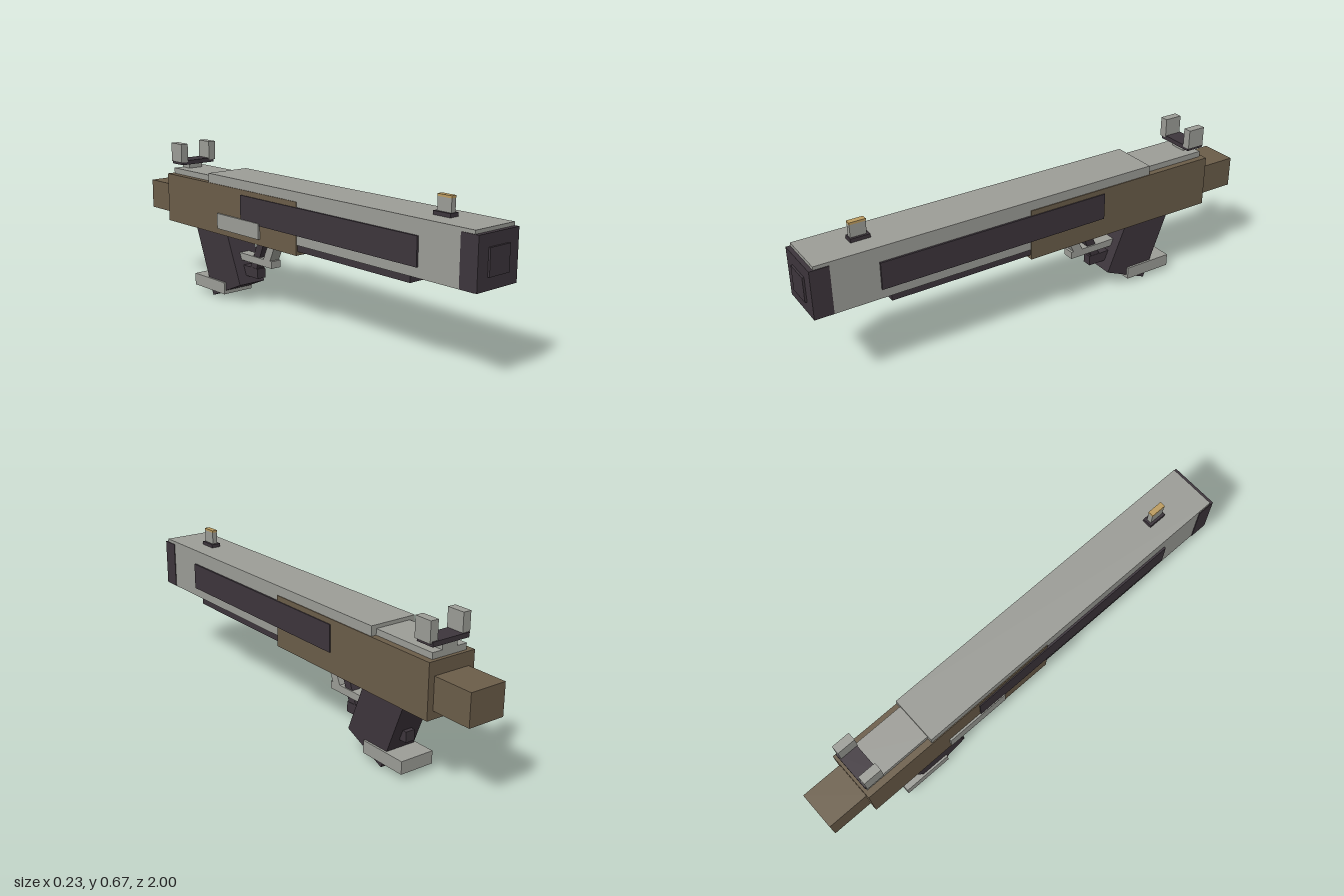
import * as THREE from 'three';

const mat = (name, color) => {
  const m = new THREE.MeshStandardMaterial({ color });
  m.name = name;
  return m;
};

export function createModel() {
  const grey = mat('grey metal', 0x9c9d97);
  const dark = mat('dark polymer', 0x3d353c);
  const brown = mat('brown frame', 0x6b5d49);
  const gold = mat('gold bead', 0xbc9c60);

  const model = new THREE.Group();
  model.name = 'blockyPistol';
  model.position.x = 0.001;

  // Box given by its limits on each axis
  const box = (name, material, [x0, x1], [y0, y1], [z0, z1]) => {
    const mesh = new THREE.Mesh(new THREE.BoxGeometry(x1 - x0, y1 - y0, z1 - z0), material);
    mesh.position.set((x0 + x1) / 2, (y0 + y1) / 2, (z0 + z1) / 2);
    mesh.name = name;
    model.add(mesh);
  };
  const mid = (w) => [-w, w];

  // Side outline in (z, y), extruded across x
  const prism = (name, material, halfWidth, points) => {
    const shape = new THREE.Shape(points.map(([z, y]) => new THREE.Vector2(z, y)));
    const geo = new THREE.ExtrudeGeometry(shape, { depth: halfWidth * 2, bevelEnabled: false });
    geo.translate(0, 0, -halfWidth).rotateY(-Math.PI / 2);
    const mesh = new THREE.Mesh(geo, material);
    mesh.name = name;
    model.add(mesh);
  };

  // Slide and muzzle
  box('slide', grey, mid(0.103), [0.35, 0.565], [-0.515, 0.975]);
  box('rearSlide', grey, mid(0.08), [0.5, 0.55], [-0.81, -0.515]);
  box('muzzleBlock', dark, mid(0.106), [0.352, 0.551], [0.915, 0.992]);
  box('muzzlePlate', dark, mid(0.053), [0.4, 0.503], [0.99, 1.0]);
  box('underRail', dark, mid(0.098), [0.323, 0.352], [0.05, 0.685]);

  // Frame and tail
  box('frame', brown, mid(0.1065), [0.307, 0.525], [-0.825, 0.075]);
  box('tail', brown, mid(0.08), [0.34, 0.47], [-1.0, -0.82]);

  // Side panels and the catch on the right side
  for (const s of [-1, 1]) {
    const name = s > 0 ? 'leftPanel' : 'rightPanel';
    box(name, dark, [s * 0.106 - 0.005, s * 0.106 + 0.005], [0.39, 0.503], [-0.28, 0.725]);
  }
  box('sideCatch', grey, [-0.115, -0.1], [0.333, 0.4], [-0.44, -0.155]);

  // Front sight
  box('frontSightBase', dark, mid(0.021), [0.56, 0.58], [0.715, 0.795]);
  box('frontSightPost', grey, mid(0.011), [0.575, 0.632], [0.725, 0.79]);
  box('frontSightBead', gold, mid(0.012), [0.632, 0.641], [0.724, 0.791]);

  // Rear sight
  box('rearSightMount', grey, mid(0.035), [0.545, 0.573], [-0.81, -0.755]);
  box('rearSightBar', dark, mid(0.085), [0.571, 0.59], [-0.815, -0.735]);
  for (const s of [-1, 1])
    box('rearSightPost', grey, [s * 0.0755 - 0.0175, s * 0.0755 + 0.0175], [0.583, 0.666], [-0.81, -0.732]);

  // Raked grip with its base plate
  prism('grip', dark, 0.067, [[-0.346, 0.087], [-0.454, 0.35], [-0.682, 0.35], [-0.545, 0.001]]);
  box('gripBase', grey, mid(0.076), [0.026, 0.079], [-0.67, -0.45]);

  // Trigger guard
  prism('guardStrut', grey, 0.025, [[-0.142, 0.325], [-0.198, 0.205], [-0.242, 0.205], [-0.187, 0.325]]);
  box('guardBar', grey, mid(0.025), [0.188, 0.219], [-0.44, -0.18]);

  // Trigger and the bar running through the grip
  prism('trigger', dark, 0.02, [[-0.222, 0.325], [-0.295, 0.15], [-0.337, 0.15], [-0.264, 0.325]]);
  box('triggerBar', dark, mid(0.021), [0.122, 0.166], [-0.628, -0.28]);

  return model;
}
